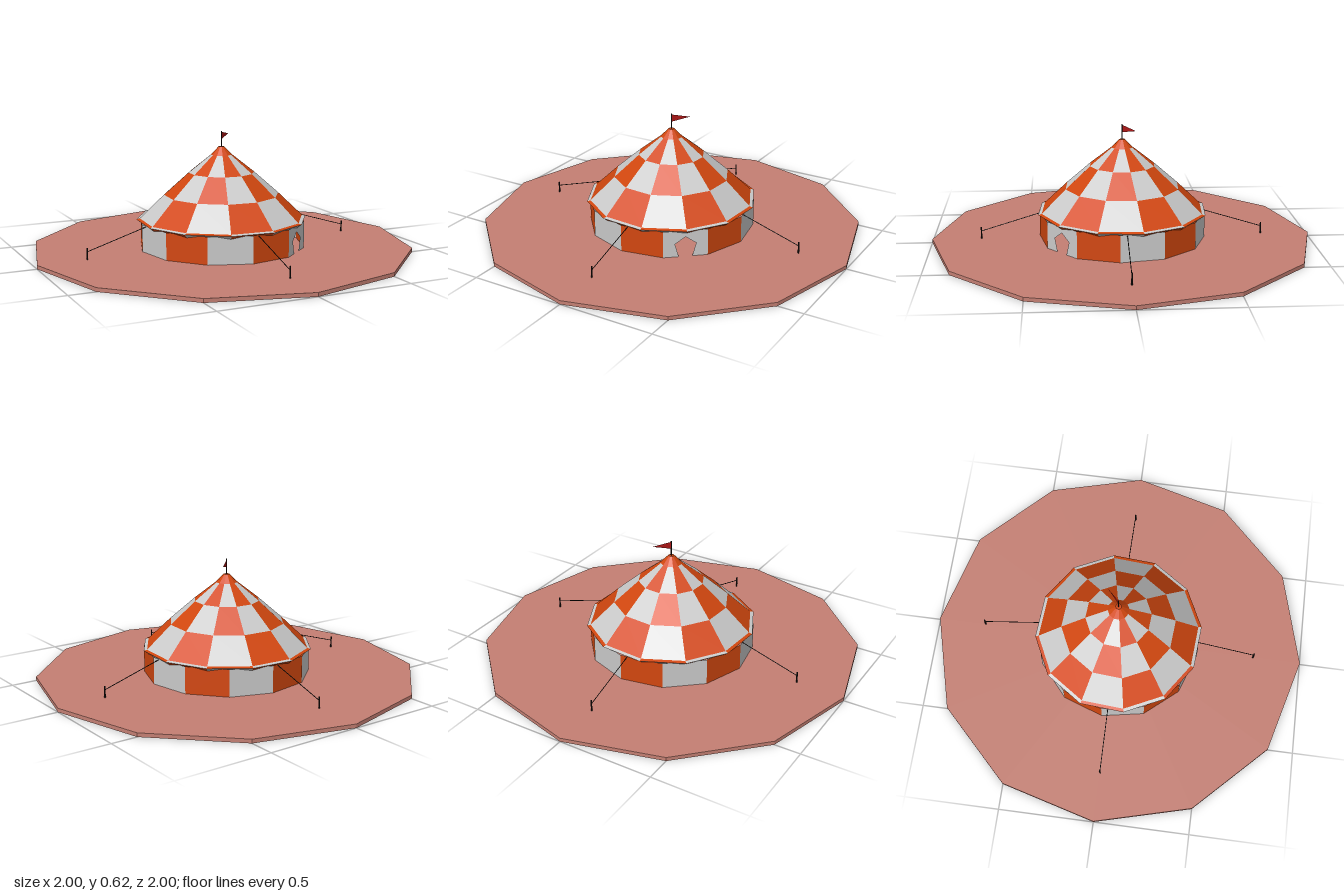
import * as THREE from 'three';

const GREY = 0xcccccc, ORANGE = 0xd2470f;
const SIDES = 12, STEP = (Math.PI * 2) / SIDES;
const deg = THREE.MathUtils.degToRad;

const mat = (color) => new THREE.MeshStandardMaterial({ color, flatShading: true, side: THREE.DoubleSide });

function add(parent, name, geometry, material) {
  const mesh = new THREE.Mesh(geometry, material);
  mesh.name = name;
  parent.add(mesh);
  return mesh;
}

// Straight round rod between two points
function rod(parent, name, a, b, radius, material) {
  const dir = b.clone().sub(a);
  const mesh = add(parent, name, new THREE.CylinderGeometry(radius, radius, dir.length(), 6), material);
  mesh.position.copy(a).add(b).multiplyScalar(0.5);
  mesh.quaternion.setFromUnitVectors(new THREE.Vector3(0, 1, 0), dir.normalize());
  return mesh;
}

// Flat panels of one colour between consecutive rings of the roof profile
function roofPanels(profile, start, picks) {
  const pos = [];
  const put = ([r, y], a) => pos.push(r * Math.cos(a), y, r * Math.sin(a));
  for (let row = 0; row < profile.length - 1; row++) {
    for (let k = 0; k < SIDES; k++) {
      if (!picks(row, k)) continue;
      const a = start + k * STEP, b = a + STEP, lo = profile[row], hi = profile[row + 1];
      put(lo, a); put(hi, a); put(hi, b);
      put(lo, a); put(hi, b); put(lo, b);
    }
  }
  const g = new THREE.BufferGeometry();
  g.setAttribute('position', new THREE.Float32BufferAttribute(pos, 3));
  g.computeVertexNormals();
  return g;
}

export function createModel() {
  const model = new THREE.Group();
  model.name = 'stripedTent';
  const grey = mat(GREY), orange = mat(ORANGE), black = mat(0x1c1614);

  // Ground disc
  const floor = 0.02;
  add(model, 'ground', new THREE.CylinderGeometry(1, 1, floor, SIDES), mat(0xc47f73)).position.y = floor / 2;

  // Wall of twelve flat panels, one with a pointed doorway
  const wall = new THREE.Group();
  wall.name = 'wall';
  model.add(wall);
  const wallR = 0.436, wallTop = 0.162, half = wallR * Math.sin(STEP / 2);
  for (let k = 0; k < SIDES; k++) {
    const outline = [[-half, floor]];
    if (k === 1) outline.push([-0.034, floor], [-0.054, 0.09], [0, 0.128], [0.054, 0.09], [0.034, floor]);
    outline.push([half, floor], [half, wallTop], [-half, wallTop]);
    const shape = new THREE.Shape(outline.map(([x, y]) => new THREE.Vector2(x, y)));
    const a = deg(4.5) + (k + 0.5) * STEP, inR = wallR * Math.cos(STEP / 2);
    const panel = add(wall, k === 1 ? 'doorPanel' : 'wallPanel', new THREE.ShapeGeometry(shape), k % 2 ? grey : orange);
    panel.position.set(inR * Math.cos(a), 0, inR * Math.sin(a));
    panel.rotation.y = Math.PI / 2 - a;
  }

  // Checkered roof: eave underside, rim, three rows and a plain cap
  const profile = [[0.405, 0.135], [0.448, 0.167], [0.43, 0.172], [0.302, 0.295], [0.172, 0.41], [0.055, 0.503], [0.015, 0.545], [0, 0.545]];
  const isOrange = (row, k) => row >= 5 || (row + k) % 2 === 0;
  const roof = new THREE.Group();
  roof.name = 'roof';
  model.add(roof);
  const start = deg(19.2);
  add(roof, 'orangeRoofPanels', roofPanels(profile, start, isOrange), orange);
  add(roof, 'greyRoofPanels', roofPanels(profile, start, (r, k) => !isOrange(r, k)), grey);

  // Flagpole and pennant
  rod(model, 'flagPole', new THREE.Vector3(0, 0.53, 0), new THREE.Vector3(0, 0.625, 0), 0.003, black);
  const pennant = new THREE.Shape([[0, 0.582], [0.098, 0.602], [0, 0.621]].map(([x, y]) => new THREE.Vector2(x, y)));
  add(model, 'flag', new THREE.ShapeGeometry(pennant), mat(0xb01818)).rotation.y = deg(43);

  // Four guy ropes with pegs
  for (let i = 0; i < 4; i++) {
    const guy = new THREE.Group();
    guy.name = 'guyLine';
    guy.rotation.y = (i * Math.PI) / 2;
    rod(guy, 'rope', new THREE.Vector3(0.415, 0.16, 0), new THREE.Vector3(0.742, 0.06, 0), 0.002, black);
    rod(guy, 'peg', new THREE.Vector3(0.742, floor, 0), new THREE.Vector3(0.742, 0.08, 0), 0.004, black);
    model.add(guy);
  }
  return model;
}
